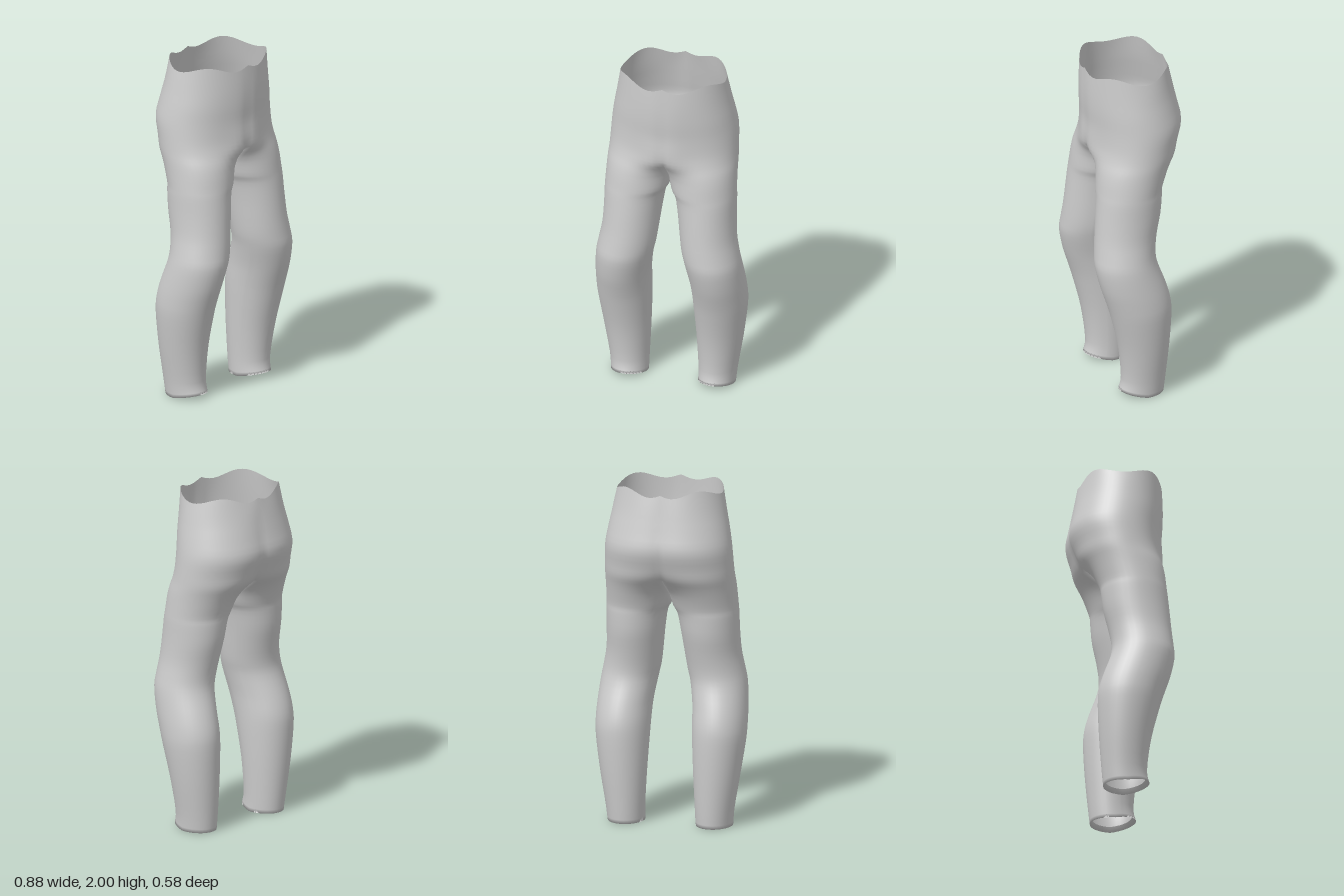
import * as THREE from 'three';
import { mergeGeometries, mergeVertices } from 'three/addons/utils/BufferGeometryUtils.js';

// Cross-sections of one half: y, outer x, inner x (negative = open to the other half), front z, back z, centre bulge
const ROWS = [
  [0.00, 0.365, 0.152, 0.145, -0.120, 0],
  [0.10, 0.375, 0.150, 0.130, -0.130, 0],
  [0.30, 0.408, 0.140, 0.152, -0.146, 0],
  [0.50, 0.436, 0.130, 0.200, -0.155, 0],
  [0.60, 0.440, 0.126, 0.230, -0.148, 0],
  [0.70, 0.436, 0.120, 0.262, -0.120, 0],
  [0.82, 0.425, 0.100, 0.288, -0.078, 0],
  [0.90, 0.410, 0.082, 0.285, -0.070, 0],
  [1.00, 0.392, 0.068, 0.276, -0.085, 0],
  [1.12, 0.386, 0.053, 0.266, -0.112, 0],
  [1.23, 0.385, 0.034, 0.256, -0.124, 0],
  [1.28, 0.383, 0.008, 0.252, -0.130, 0],
  [1.36, 0.380, -0.015, 0.245, -0.160, 0],
  [1.42, 0.378, -0.060, 0.238, -0.192, 0.005],
  [1.48, 0.375, -0.130, 0.228, -0.232, 0.035],
  [1.55, 0.372, -0.190, 0.222, -0.256, 0.038],
  [1.65, 0.366, -0.220, 0.225, -0.286, 0.026],
  [1.75, 0.350, -0.235, 0.235, -0.270, 0.020],
  [1.85, 0.330, -0.255, 0.243, -0.251, 0.012],
  [1.98, 0.308, -0.290, 0.250, -0.230, 0],
];
const SEAM_ROW = 14;   // the inner leg walls end here
const SUB = 3;         // steps between rows
const OUT = 32, INN = 12; // points around the outer arc and the inner side

function ring(y, outer, inner, front, back, bulge, closed) {
  const cx = (outer + inner) / 2, rx = (outer - inner) / 2;
  const zc = (front + back) / 2, rz = (front - back) / 2;
  const limit = THREE.MathUtils.degToRad(160);
  const a = inner < 0 ? Math.min(limit, Math.acos(-cx / rx)) : limit;
  const points = [];
  for (let j = 0; j < OUT + INN; j++) {
    const t = j <= OUT ? -a + (2 * a * j) / OUT
      : a + ((2 * Math.PI - 2 * a) * (j - OUT)) / INN;
    let x = Math.max(cx + rx * Math.cos(t), closed ? 0.004 : 0);
    if (!closed && (j === 0 || j >= OUT)) x = 0;
    const s = Math.sin(t);
    const z = zc + rz * s + bulge * Math.max(0, s) * Math.exp(-((x / 0.12) ** 2));
    // hem rises at the front, waist edge is wavy
    const hem = 0.028 * Math.max(0, s) * Math.max(0, 1 - y / 0.1);
    const waist = Math.max(0, (y - 1.88) / 0.1) * 0.02 * Math.cos(5 * (Math.atan2(z, x) - 0.6));
    points.push(x, y + hem + waist, z);
  }
  return points;
}

function halfGeometry(side) {
  const columns = ROWS[0].map((_, c) => new THREE.SplineCurve(ROWS.map((r) => new THREE.Vector2(0, r[c]))));
  const n = OUT + INN, steps = (ROWS.length - 1) * SUB;
  // narrow hem fold turned up inside the leg
  const positions = ring(0.03, 0.352, 0.165, 0.12, -0.105, 0, true);
  for (let i = 0; i <= steps; i++) {
    const v = columns.map((c) => c.getPoint(i / steps).y);
    positions.push(...ring(...v, i < SEAM_ROW * SUB));
  }
  for (let i = 0; i < positions.length; i += 3) positions[i] *= side;

  const index = [];
  for (let i = 0; i <= steps; i++) {
    for (let j = 0; j < n; j++) {
      if (i > SEAM_ROW * SUB && j >= OUT) continue; // open between the halves
      const k = (j + 1) % n;
      const a = i * n + j, b = i * n + k, c = a + n, d = b + n;
      if (side > 0) index.push(a, c, b, b, c, d);
      else index.push(a, b, c, b, d, c);
    }
  }
  const g = new THREE.BufferGeometry();
  g.setAttribute('position', new THREE.Float32BufferAttribute(positions, 3));
  g.setIndex(index);
  return g;
}

export function createModel() {
  const fabric = new THREE.MeshStandardMaterial({ color: 0xcccccc, side: THREE.DoubleSide });
  fabric.name = 'light grey fabric';

  // both halves welded along the centre seam
  const geometry = mergeVertices(mergeGeometries([halfGeometry(1), halfGeometry(-1)]), 1e-4);
  geometry.computeVertexNormals();

  const trousers = new THREE.Mesh(geometry, fabric);
  trousers.name = 'trousers';
  const model = new THREE.Group();
  model.name = 'trousersModel';
  model.add(trousers);
  return model;
}
